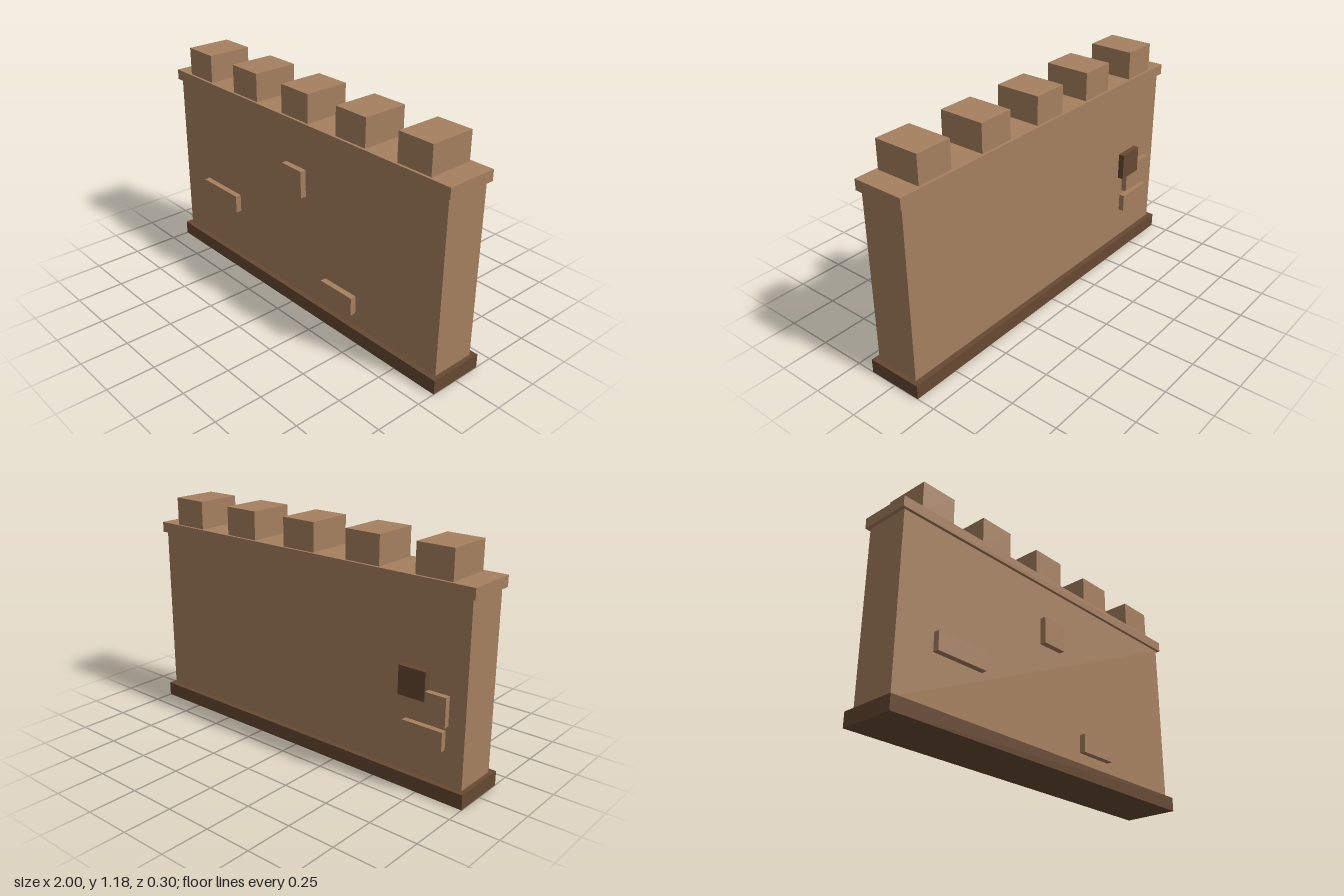
import * as THREE from 'three';

export function createModel() {
  const model = new THREE.Group();
  const stone = new THREE.MeshStandardMaterial({ color: 0xa68060 });
  stone.name = 'light brown stone';
  const darkStone = new THREE.MeshStandardMaterial({ color: 0x664932 });
  darkStone.name = 'dark brown stone';

  // Box given by its extents along each axis
  function block(name, material, [x0, x1], [y0, y1], [z0, z1], parent = model) {
    const mesh = new THREE.Mesh(new THREE.BoxGeometry(x1 - x0, y1 - y0, z1 - z0), material);
    mesh.position.set((x0 + x1) / 2, (y0 + y1) / 2, (z0 + z1) / 2);
    mesh.name = name;
    parent.add(mesh);
    return mesh;
  }

  // Main body
  block('base', darkStone, [-1, 1], [0, 0.075], [-0.15, 0.15]);
  block('wall', stone, [-0.977, 0.977], [0.075, 0.98], [-0.12, 0.12]);
  block('cap', stone, [-0.995, 0.995], [0.98, 1.035], [-0.136, 0.136]);

  // Battlements
  const battlements = new THREE.Group();
  battlements.name = 'battlements';
  model.add(battlements);
  for (let i = -2; i <= 2; i++) {
    const x = i * 0.39;
    block('merlon', stone, [x - 0.097, x + 0.097], [1.035, 1.183], [-0.122, 0.122], battlements);
  }

  // Protruding bricks on the front
  const front = [0.12, 0.152];
  block('frontBrickLong', stone, [-0.765, -0.47], [0.348, 0.445], front);
  block('frontBrickSquare', stone, [-0.065, 0.08], [0.643, 0.788], front);
  block('frontBrickLow', stone, [0.23, 0.45], [0.145, 0.241], front);

  // Protruding bricks on the back; the dark one overlaps its neighbour
  block('backBrickDark', darkStone, [-0.778, -0.632], [0.465, 0.61], [-0.152, -0.12]);
  block('backBrickMiddle', stone, [-0.89, -0.675], [0.37, 0.516], [-0.15, -0.12]);
  block('backBrickLow', stone, [-0.878, -0.659], [0.248, 0.345], [-0.15, -0.12]);

  return model;
}
